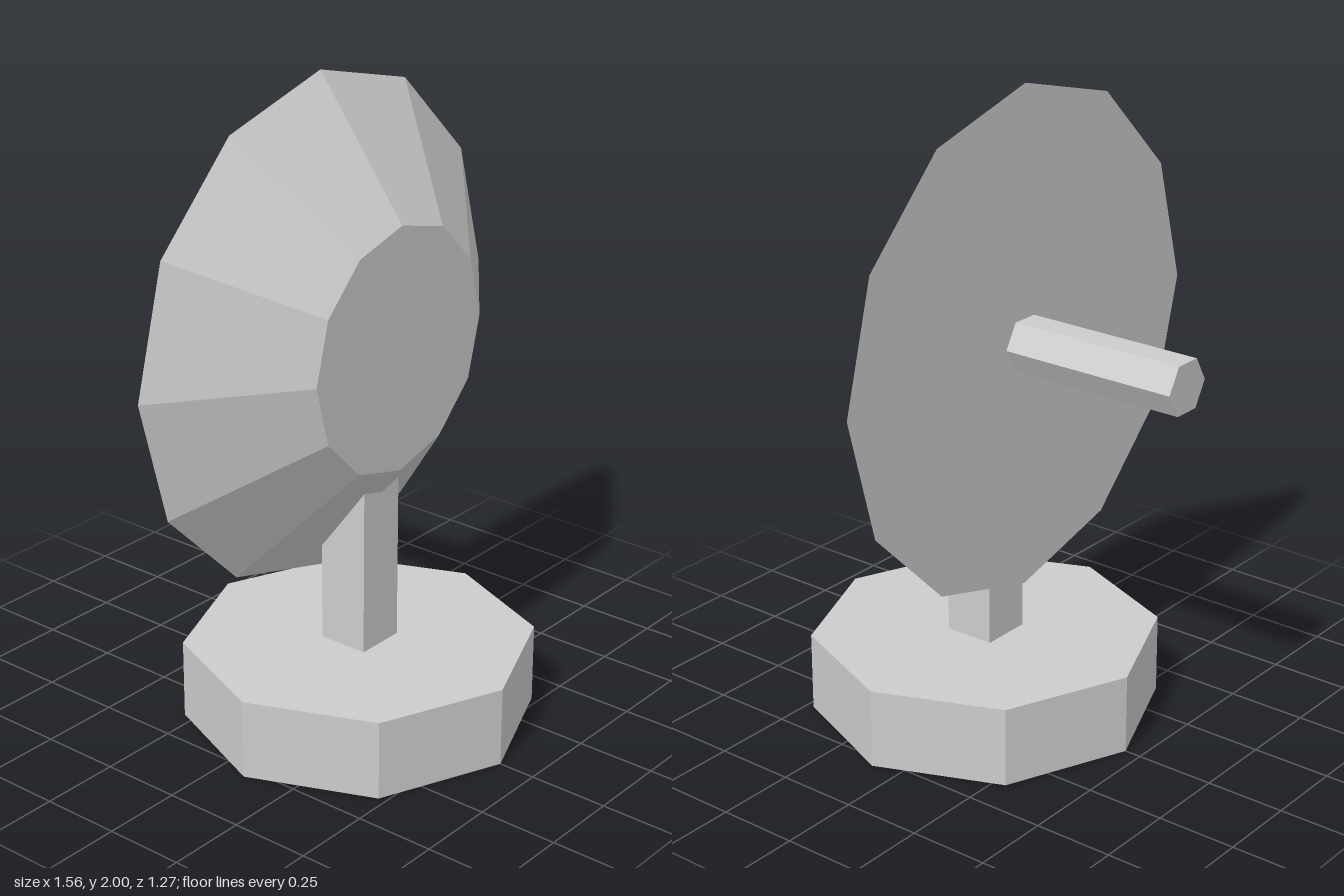
import * as THREE from 'three';

export function createModel() {
  const model = new THREE.Group();
  const grey = new THREE.MeshStandardMaterial({ color: 0xcccccc });
  grey.name = 'light grey';
  grey.flatShading = true;

  const add = (name, geometry, x, y, z) => {
    const mesh = new THREE.Mesh(geometry, grey);
    mesh.name = name;
    mesh.position.set(x, y, z);
    model.add(mesh);
  };

  // Octagonal foot with a corner facing forward
  add('base', new THREE.CylinderGeometry(0.54, 0.54, 0.25, 8), 0, 0.125, 0.093);

  // Square post running up into the dish
  add('post', new THREE.BoxGeometry(0.162, 0.75, 0.162), 0, 0.625, 0.093);

  // Twelve-sided dish, narrow end forward
  add('dish', new THREE.CylinderGeometry(0.378, 0.778, 0.3, 12).rotateX(Math.PI / 2), 0, 1.222, 0.092);

  // Hexagonal rod behind the dish, flat side up
  const rod = new THREE.CylinderGeometry(0.0866, 0.0866, 0.62, 6, 1, false, Math.PI / 6);
  add('rod', rod.rotateX(Math.PI / 2), 0, 1.222, -0.323);

  return model;
}
